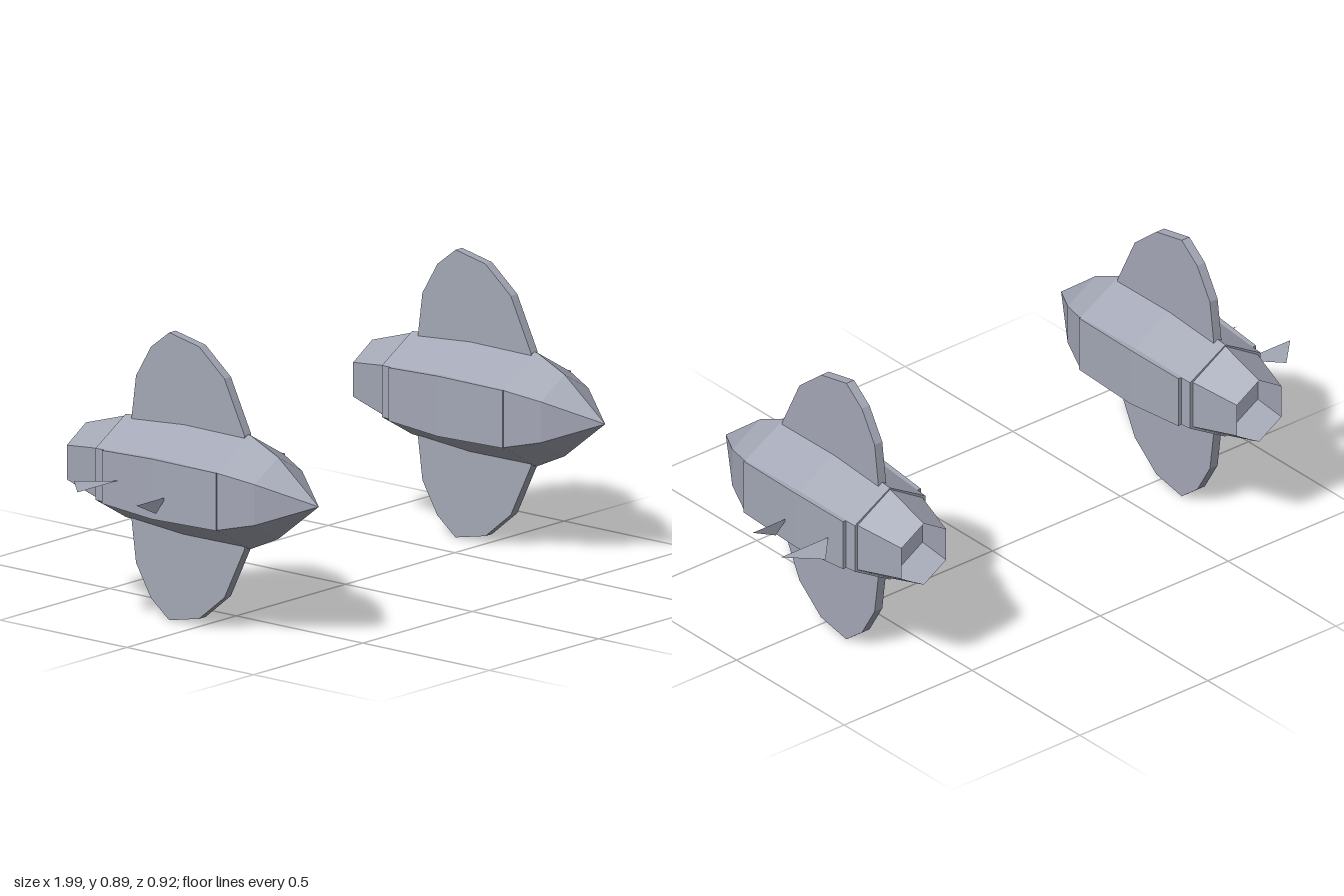
import * as THREE from 'three';
import { ConvexGeometry } from 'three/addons/geometries/ConvexGeometry.js';

const POD_X = 0.655, MID_Y = 0.447;

// Six-sided shell along z, from [radius, z] pairs ordered tail to nose
function hexShell(profile) {
  const points = profile.map(([r, z]) => new THREE.Vector2(r, z));
  return new THREE.LatheGeometry(points, 6).rotateX(Math.PI / 2);
}

function triangle(corners) {
  const geo = new THREE.BufferGeometry();
  geo.setAttribute('position', new THREE.Float32BufferAttribute(corners.flat(), 3));
  geo.computeVertexNormals();
  return geo;
}

export function createModel() {
  const hull = new THREE.MeshStandardMaterial({ color: 0xa4a8b6, flatShading: true, side: THREE.DoubleSide });
  hull.name = 'hull grey';
  const model = new THREE.Group();
  model.name = 'enginePods';

  // Faceted body with a pointed nose and closed rear
  const bodyGeo = hexShell([[0, -0.303], [0.159, -0.303], [0.178, -0.06], [0.176, 0.19], [0.126, 0.3], [0, 0.46]]);

  // Open tapering exhaust, slightly narrower than the body
  const nozzleGeo = hexShell([[0.106, -0.46], [0.154, -0.303]]).scale(0.95, 1, 1);

  // Raised panel on a flat side of the body
  const panelPoints = [];
  for (const [z, x, h] of [[0.19, 0.157, 0.089], [-0.06, 0.165, 0.093], [-0.265, 0.152, 0.082]]) {
    for (const s of [-1, 1]) {
      panelPoints.push(new THREE.Vector3(x, s * h, z), new THREE.Vector3(0.12, s * h, z));
    }
  }
  const panelGeo = new ConvexGeometry(panelPoints);

  // Tall rounded fin plate running through the body, same above and below
  const half = [[0.18, 0.175], [0.1, 0.338], [0, 0.42], [-0.118, 0.444], [-0.19, 0.388], [-0.249, 0.289], [-0.267, 0.155]];
  const outline = [...half, ...half.map(([z, y]) => [z, -y]).reverse()];
  const finGeo = new THREE.ExtrudeGeometry(
    new THREE.Shape(outline.map(([z, y]) => new THREE.Vector2(-z, y))),
    { depth: 0.03, bevelEnabled: false }
  ).translate(0, 0, -0.015).rotateY(Math.PI / 2);

  // Small flat vanes on the outboard side: one horizontal, one upright
  const rearVaneGeo = triangle([[0.155, 0, -0.2], [0.34, 0, -0.2], [0.245, 0, -0.295]]);
  const frontVaneGeo = triangle([[0.155, -0.019, -0.01], [0.2, -0.062, -0.01], [0.29, -0.019, -0.01]]);

  for (const side of [-1, 1]) {
    const pod = new THREE.Group();
    pod.name = side > 0 ? 'leftPod' : 'rightPod';
    pod.position.set(side * POD_X, MID_Y, 0);
    const add = (name, geo, mirror = 1) => {
      const mesh = new THREE.Mesh(geo, hull);
      mesh.name = name;
      mesh.scale.x = mirror;
      pod.add(mesh);
    };
    add('body', bodyGeo);
    add('nozzle', nozzleGeo);
    add('outerPanel', panelGeo, side);
    add('innerPanel', panelGeo, -side);
    add('fin', finGeo);
    add('rearVane', rearVaneGeo, side);
    add('frontVane', frontVaneGeo, side);
    model.add(pod);
  }
  return model;
}
